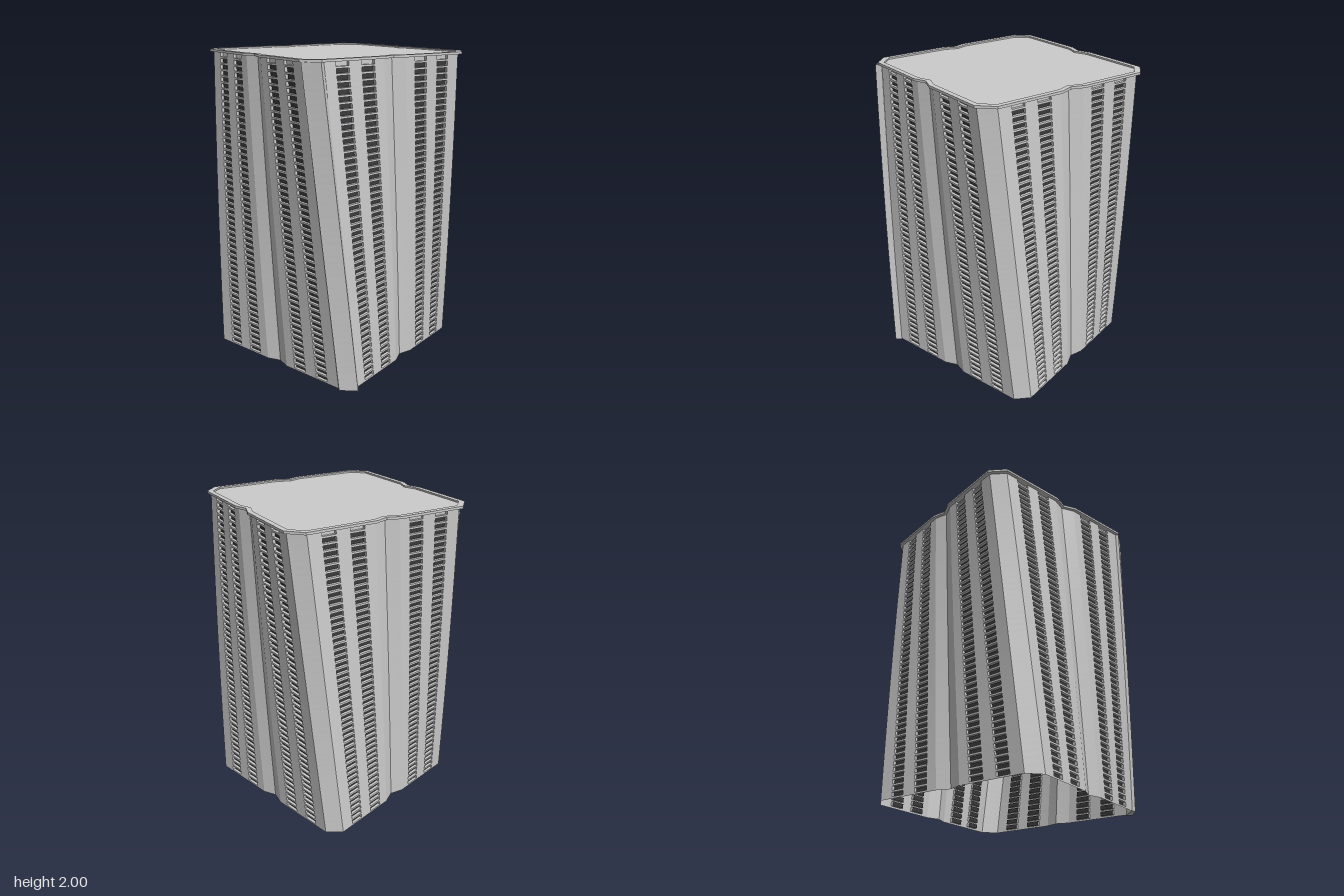
import * as THREE from 'three';

const HEIGHT = 2, TWIST = Math.PI / 12, HALF = 0.6, CHAMFER = 0.52;
const FLOORS = 50, WALL_TOP = 1.985, PITCH = WALL_TOP / FLOORS, RECESS = 0.018;

// Columns along one side: edges from corner to corner, odd pairs hold windows
const COLUMNS = [-CHAMFER, -0.43, -0.34, -0.25, -0.155, -0.085, 0, 0.085, 0.155, 0.25, 0.34, 0.43, CHAMFER];
const WINDOW_COLUMNS = [1, 3, 8, 10];

const grey = new THREE.MeshStandardMaterial({ color: 0xcccccc, flatShading: true, side: THREE.DoubleSide });
const dark = new THREE.MeshStandardMaterial({ color: 0x3a3a3c, flatShading: true, side: THREE.DoubleSide });

// Distance of the wall from the axis, with a shallow V groove in the middle
const wallDepth = (u) => HALF - 0.03 * Math.max(0, 1 - Math.abs(u) / 0.085);

// Plan point turned to its side and twisted by its height
function place(side, u, depth, y) {
  const a = side * Math.PI / 2 + TWIST * y / HEIGHT;
  const c = Math.cos(a), s = Math.sin(a);
  return [u * c - depth * s, y, u * s + depth * c];
}

// Collects quads into a flat-shaded mesh
class Surface {
  constructor() { this.data = []; }
  quad(a, b, c, d) { this.data.push(...a, ...b, ...c, ...a, ...c, ...d); }
  mesh(name, material) {
    const g = new THREE.BufferGeometry();
    g.setAttribute('position', new THREE.Float32BufferAttribute(this.data, 3));
    g.computeVertexNormals();
    const m = new THREE.Mesh(g, material);
    m.name = name;
    return m;
  }
}

// One side: grooved wall with recessed windows on every floor
function buildSide(side) {
  const wall = new Surface(), panes = new Surface(), group = new THREE.Group();
  const patch = (i, y0, y1) => {
    const u0 = COLUMNS[i], u1 = COLUMNS[i + 1];
    const p = (u, y) => place(side, u, wallDepth(u), y);
    wall.quad(p(u0, y0), p(u1, y0), p(u1, y1), p(u0, y1));
  };
  for (let f = 0; f < FLOORS; f++) {
    const y0 = f * PITCH, y1 = y0 + 0.012, y2 = y0 + PITCH;
    for (let i = 0; i < COLUMNS.length - 1; i++) {
      if (!WINDOW_COLUMNS.includes(i)) { patch(i, y0, y2); continue; }
      patch(i, y0, y1);
      const u0 = COLUMNS[i], u1 = COLUMNS[i + 1];
      const rim = [[u0, y1], [u1, y1], [u1, y2], [u0, y2]];
      const outer = rim.map(([u, y]) => place(side, u, HALF, y));
      const inner = rim.map(([u, y]) => place(side, u, HALF - RECESS, y));
      for (let k = 0; k < 4; k++) {
        const n = (k + 1) % 4;
        wall.quad(outer[k], outer[n], inner[n], inner[k]);
      }
      // The top floor is blind
      (f === FLOORS - 1 ? wall : panes).quad(...inner);
    }
    // Chamfered corner
    wall.quad(place(side, CHAMFER, HALF, y0), place(side, HALF, CHAMFER, y0),
      place(side, HALF, CHAMFER, y2), place(side, CHAMFER, HALF, y2));
  }
  group.name = 'side' + (side + 1);
  group.add(wall.mesh('wall', grey), panes.mesh('windows', dark));
  return group;
}

// Raised strip covering the front right corner
function buildCornerStrip() {
  const strip = new Surface();
  const plan = [[-0.6, 0.52], [-0.615, 0.535], [-0.548, 0.632], [-0.512, 0.605]];
  const p = (k, y) => place(0, ...plan[k % 4], y);
  for (let f = 0; f < FLOORS; f++) {
    const y0 = f * PITCH, y1 = y0 + PITCH;
    for (let k = 0; k < 3; k++) strip.quad(p(k, y0), p(k + 1, y0), p(k + 1, y1), p(k, y1));
  }
  strip.quad(p(0, 0), p(1, 0), p(2, 0), p(3, 0));
  return strip.mesh('cornerStrip', grey);
}

// Tower outline at the top, moved outwards by offset, in the flat plane of a shape
function topOutline(offset) {
  const points = [];
  for (let s = 0; s < 4; s++) {
    const end = CHAMFER + offset * 0.6;
    for (const u of [end, 0.085, 0, -0.085, -end]) {
      const [x, , z] = place(s, u, wallDepth(u) + offset, HEIGHT);
      points.push(new THREE.Vector2(x, -z));
    }
  }
  return points.reverse();
}

export function createModel() {
  const model = new THREE.Group();
  model.name = 'twistedTower';
  for (let s = 0; s < 4; s++) model.add(buildSide(s));
  model.add(buildCornerStrip());

  // Flat roof inside a thin projecting rim
  const rimShape = new THREE.Shape(topOutline(0.021));
  rimShape.holes.push(new THREE.Path(topOutline(-0.012)));
  const rim = new THREE.Mesh(
    new THREE.ExtrudeGeometry(rimShape, { depth: HEIGHT - WALL_TOP, bevelEnabled: false }), grey);
  rim.name = 'roofRim';
  rim.rotation.x = -Math.PI / 2;
  rim.position.y = WALL_TOP;

  const roof = new THREE.Mesh(new THREE.ShapeGeometry(new THREE.Shape(topOutline(-0.012))), grey);
  roof.name = 'roof';
  roof.rotation.x = -Math.PI / 2;
  roof.position.y = 1.99;
  model.add(rim, roof);
  return model;
}
